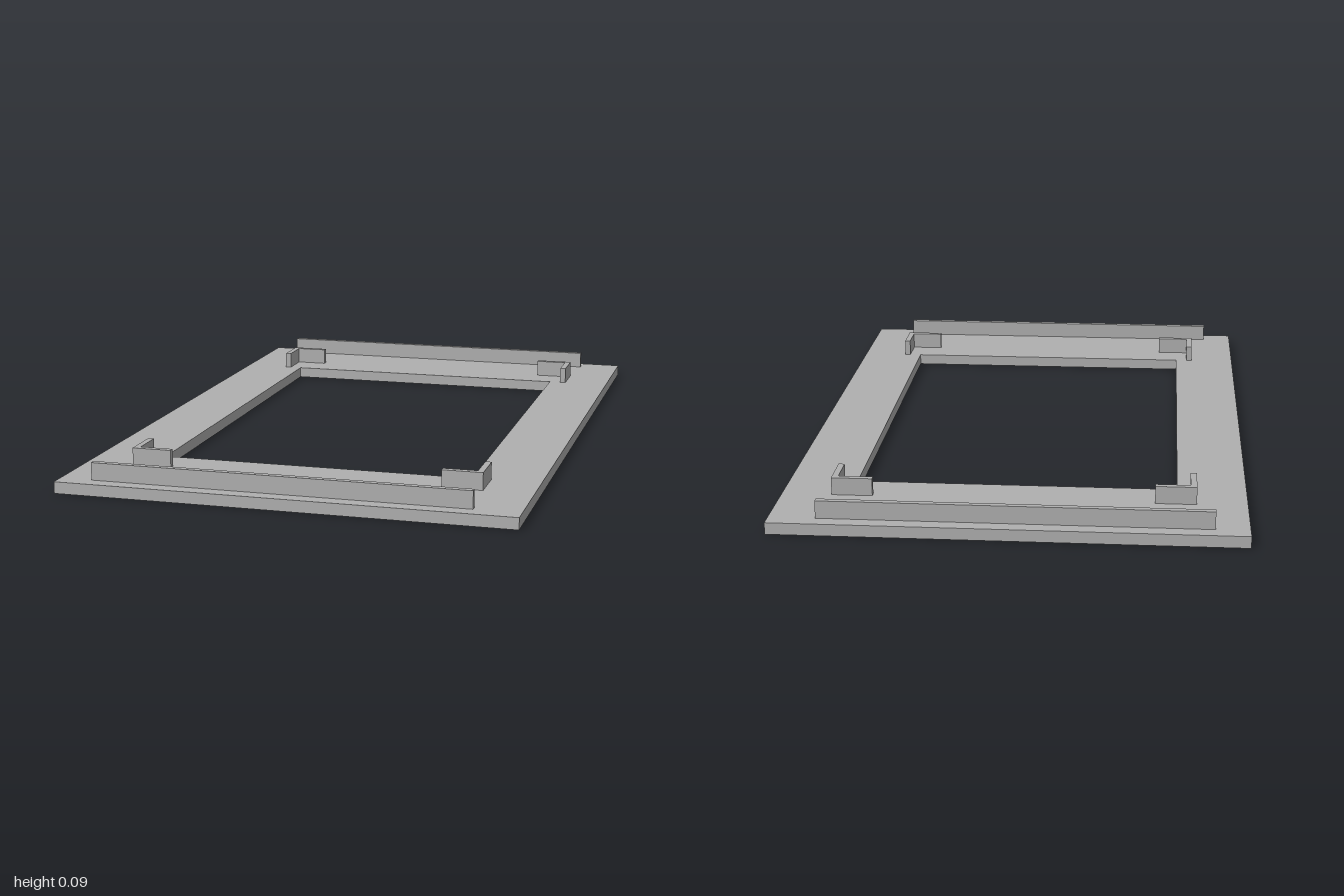
import * as THREE from 'three';

const PLATE_H = 0.034, TOP = 0.085, WALL = 0.018;

export function createModel() {
  const model = new THREE.Group();
  model.name = 'framePlate';
  const grey = new THREE.MeshStandardMaterial({ color: 0xb0b0b0 });
  grey.name = 'plain grey';

  // Flat base plate with a rectangular opening
  const outline = new THREE.Shape([[-0.66, -1], [0.66, -1], [0.66, 1], [-0.66, 1]]
    .map(([x, y]) => new THREE.Vector2(x, y)));
  outline.holes.push(new THREE.Path([[-0.462, -0.658], [-0.462, 0.658], [0.462, 0.658], [0.462, -0.658]]
    .map(([x, y]) => new THREE.Vector2(x, y))));
  const plateGeometry = new THREE.ExtrudeGeometry(outline, { depth: PLATE_H, bevelEnabled: false });
  plateGeometry.rotateX(-Math.PI / 2);
  const plate = new THREE.Mesh(plateGeometry, grey);
  plate.name = 'basePlate';
  model.add(plate);

  // Upright wall standing on the plate, given by its x and z limits
  const wall = (name, parent, x0, x1, z0, z1) => {
    const mesh = new THREE.Mesh(
      new THREE.BoxGeometry(Math.abs(x1 - x0), TOP - PLATE_H, Math.abs(z1 - z0)), grey);
    mesh.position.set((x0 + x1) / 2, (PLATE_H + TOP) / 2, (z0 + z1) / 2);
    mesh.name = name;
    parent.add(mesh);
  };

  for (const sz of [1, -1]) {
    const end = sz > 0 ? 'front' : 'back';

    // Long rail, slightly off centre
    wall(end + 'Rail', model, -0.565, 0.528, sz * 0.957, sz * (0.957 - WALL));

    // L-shaped corner brackets around the opening
    for (const sx of [1, -1]) {
      const bracket = new THREE.Group();
      bracket.name = end + (sx > 0 ? 'Left' : 'Right') + 'Bracket';
      wall('crossArm', bracket, sx * 0.4, sx * 0.517, sz * 0.774, sz * (0.774 - WALL));
      wall('sideArm', bracket, sx * 0.517, sx * (0.517 - WALL), sz * (0.774 - WALL), sz * 0.656);
      model.add(bracket);
    }
  }
  return model;
}
